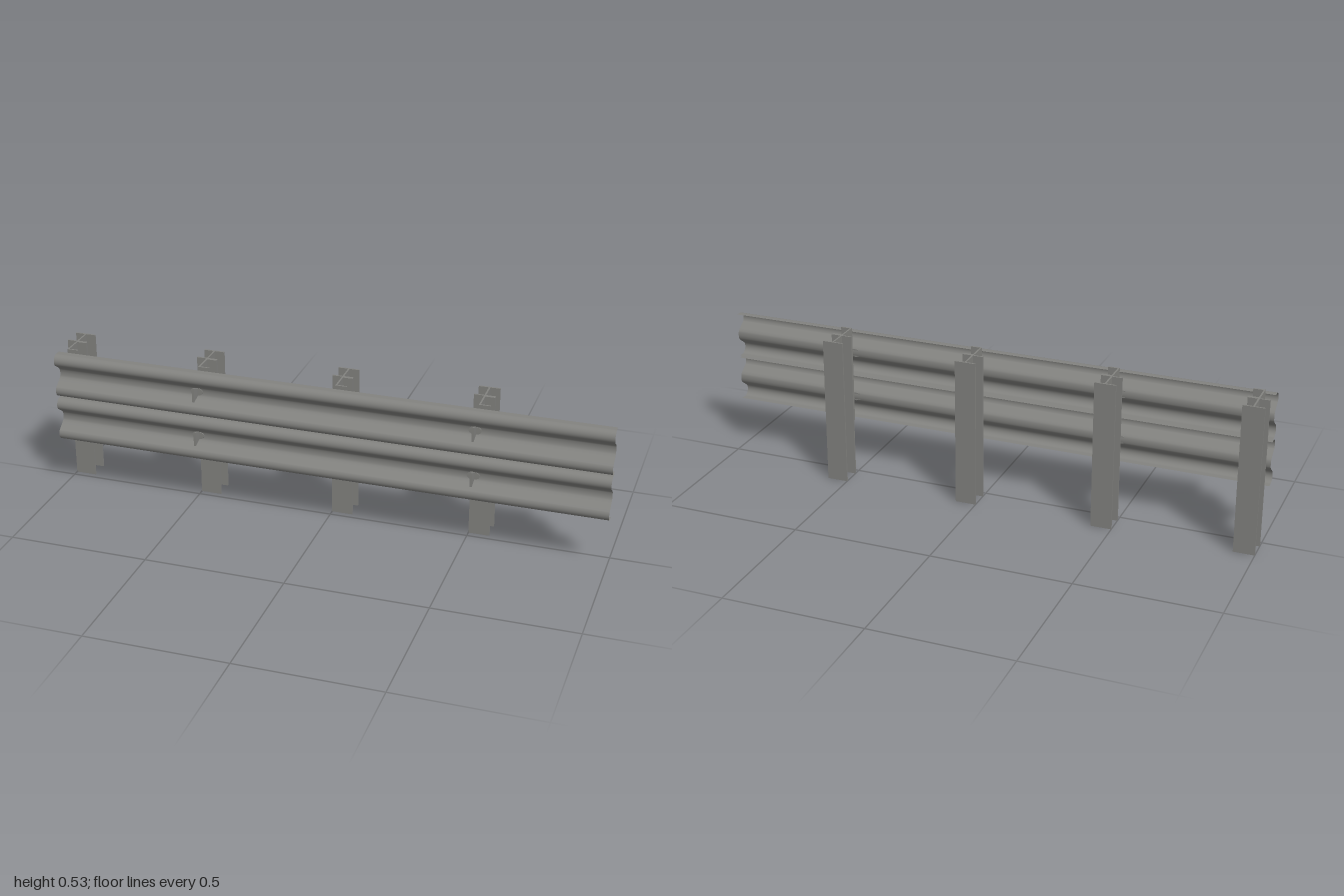
import * as THREE from 'three';

const steel = new THREE.MeshStandardMaterial({ color: 0x82827f });
steel.name = 'galvanised steel';
const sheetSteel = new THREE.MeshStandardMaterial({ color: 0x82827f, side: THREE.DoubleSide });
sheetSteel.name = 'galvanised sheet';

// Box given by its limits on each axis
function slab(name, [x0, x1], [y0, y1], [z0, z1]) {
  const mesh = new THREE.Mesh(new THREE.BoxGeometry(x1 - x0, y1 - y0, z1 - z0), steel);
  mesh.position.set((x0 + x1) / 2, (y0 + y1) / 2, (z0 + z1) / 2);
  mesh.name = name;
  return mesh;
}

// W-shaped rail cross-section as (z, y) pairs, mirrored about its valley
function railProfile() {
  const half = [[0.054, 0.081]];
  for (let i = 0; i <= 14; i++) {
    const a = Math.PI / 2 - (i / 14) * 2.27;
    half.push([0.073 + 0.024 * Math.cos(a), 0.057 + 0.024 * Math.sin(a)]);
  }
  half.push([0.065, 0.023], [0.058, 0.016], [0.055, 0.01]);
  return [...half, [0.054, 0], ...half.slice().reverse().map(([z, y]) => [z, -y])];
}

// Sheet swept along x through the cross-section
function railGeometry() {
  const profile = railProfile();
  const positions = [], index = [];
  profile.forEach(([z, y], i) => {
    positions.push(-1, y, z, 1, y, z);
    if (i) {
      const a = 2 * i - 2;
      index.push(a, a + 2, a + 1, a + 1, a + 2, a + 3);
    }
  });
  const g = new THREE.BufferGeometry();
  g.setAttribute('position', new THREE.Float32BufferAttribute(positions, 3));
  g.setIndex(index);
  g.computeVertexNormals();
  return g;
}

// I-beam post with a C-channel spacer in front
function post() {
  const g = new THREE.Group();
  const full = [0, 0.533], upper = [0.175, 0.533];
  g.add(
    slab('postBackFlange', [0, 0.075], full, [-0.097, -0.091]),
    slab('postWeb', [0.035, 0.041], full, [-0.091, -0.028]),
    slab('postFrontFlange', [0, 0.075], full, [-0.028, -0.022]),
    slab('spacerBackFlange', [0.035, 0.075], upper, [-0.022, -0.015]),
    slab('spacerWeb', [0.035, 0.041], upper, [-0.015, 0.048]),
    slab('spacerFrontFlange', [0.035, 0.075], upper, [0.048, 0.054])
  );
  return g;
}

// Reflector bracket: base plate with an upright trapezoid fin
function reflector() {
  const g = new THREE.Group();
  const base = new THREE.Mesh(new THREE.CylinderGeometry(0.023, 0.023, 0.003, 12), steel);
  base.rotation.x = Math.PI / 2;
  base.scale.z = 0.65;
  base.position.z = 0.0565;
  base.name = 'reflectorBase';
  const outline = new THREE.Shape([[-0.056, -0.014], [-0.056, 0.014], [-0.091, 0.026], [-0.091, -0.026]]
    .map(([x, y]) => new THREE.Vector2(x, y)));
  const finGeometry = new THREE.ExtrudeGeometry(outline, { depth: 0.008, bevelEnabled: false });
  finGeometry.rotateY(Math.PI / 2);
  const fin = new THREE.Mesh(finGeometry, steel);
  fin.position.x = -0.004;
  fin.name = 'reflectorFin';
  g.add(base, fin);
  return g;
}

export function createModel() {
  const model = new THREE.Group();
  model.name = 'guardrail';
  const sheet = railGeometry();
  [['upper', 0.438], ['lower', 0.268]].forEach(([level, y]) => {
    const rail = new THREE.Mesh(sheet, sheetSteel);
    rail.position.y = y;
    rail.name = level + 'Rail';
    model.add(rail);
    // Reflectors sit in the rail valley at every second post
    [-0.473, 0.527].forEach((x) => {
      const r = reflector();
      r.position.set(x, y, 0);
      r.name = level + 'Reflector';
      model.add(r);
    });
  });
  [-1, -0.5, 0, 0.5].forEach((x) => {
    const p = post();
    p.position.x = x;
    p.name = 'post';
    model.add(p);
  });
  return model;
}
